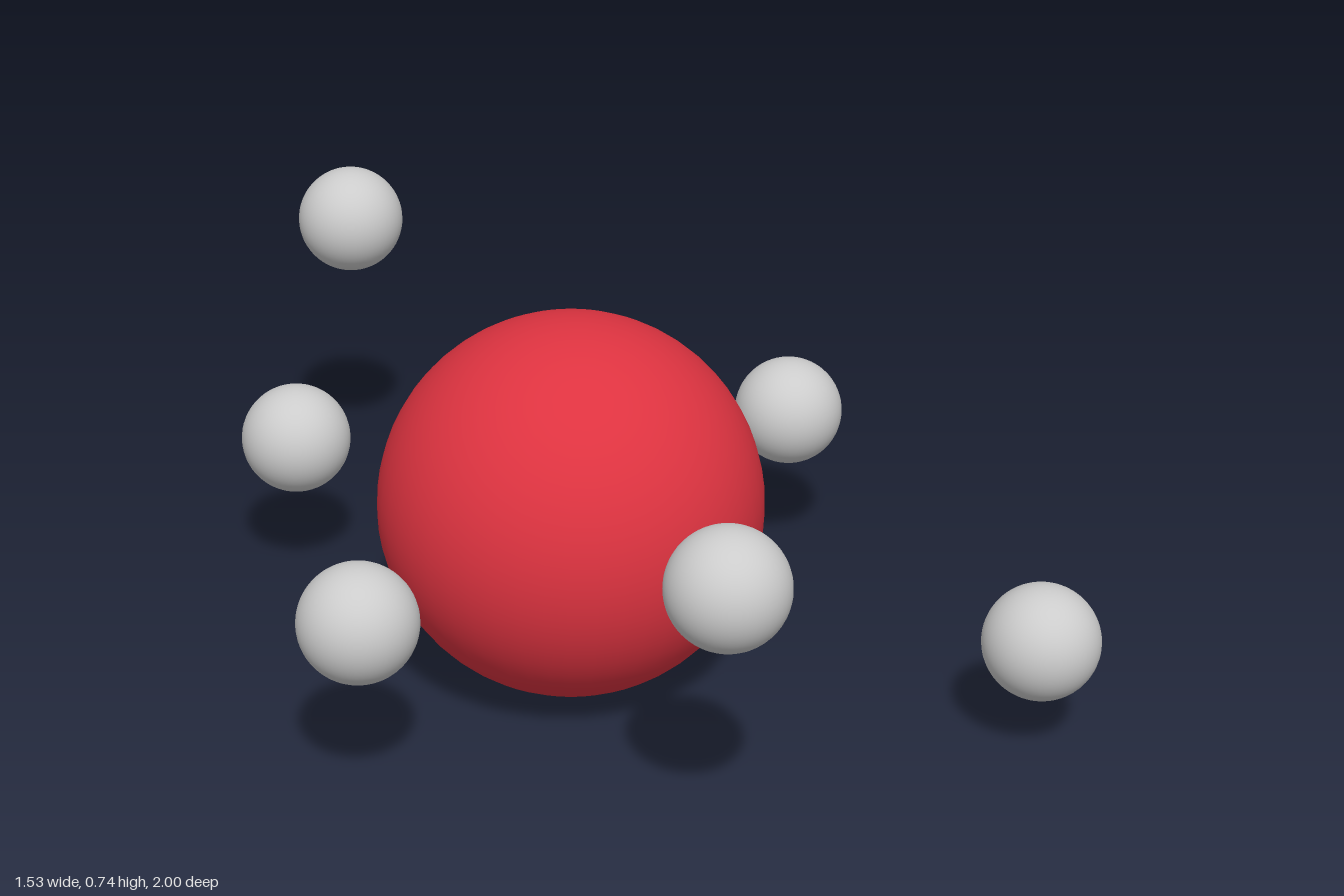
import * as THREE from 'three';

export function createModel() {
  const model = new THREE.Group();
  const red = new THREE.MeshStandardMaterial({ color: 0xdd3340 });
  const grey = new THREE.MeshStandardMaterial({ color: 0xcccccc });

  function addSphere(name, geometry, material, position) {
    const mesh = new THREE.Mesh(geometry, material);
    mesh.name = name;
    mesh.position.set(...position);
    model.add(mesh);
  }

  // Large central sphere
  addSphere('centralSphere', new THREE.SphereGeometry(0.368, 48, 32), red, [-0.047, 0.37, 0.033]);

  // Small spheres floating around it
  const smallSphere = new THREE.SphereGeometry(0.11, 48, 32);
  const satellites = {
    frontRightSatellite: [-0.432, 0.546, 0.66],
    rightSatellite: [-0.658, 0.371, 0.03],
    frontLeftSatellite: [0.256, 0.224, 0.89],
    leftSatellite: [0.654, 0.32, 0.06],
    backLeftSatellite: [0.385, 0.602, -0.89],
    backSatellite: [-0.05, 0.31, -0.668],
  };
  for (const [name, position] of Object.entries(satellites)) {
    addSphere(name, smallSphere, grey, position);
  }
  return model;
}
